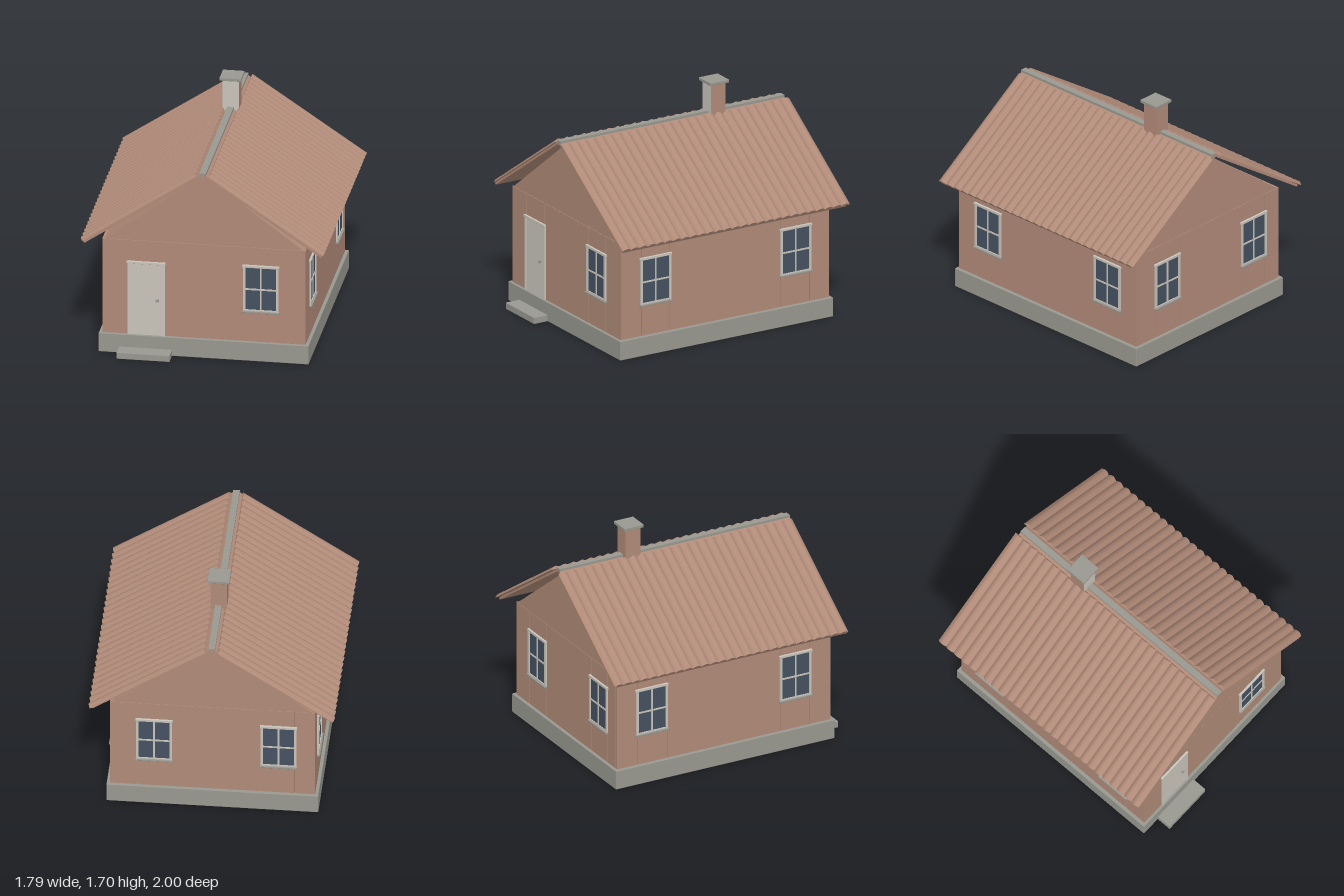
import * as THREE from 'three';
import { toCreasedNormals } from 'three/addons/utils/BufferGeometryUtils.js';
import { RoundedBoxGeometry } from 'three/addons/geometries/RoundedBoxGeometry.js';

const material = (name, color) => {
  const m = new THREE.MeshStandardMaterial({ color });
  m.name = name;
  return m;
};

export function createModel() {
  const brick = material('brick brown', 0xb08a78);
  const light = material('pale trim', 0xc9c4bb);
  const grey = material('concrete grey', 0x989890);
  const glass = material('dark glass', 0x455161);

  const house = new THREE.Group();
  house.name = 'house';

  const add = (parent, name, geometry, mat) => {
    const mesh = new THREE.Mesh(geometry, mat);
    mesh.name = name;
    parent.add(mesh);
    return mesh;
  };
  // Box given by its minimum and maximum corners
  const box = (parent, name, mat, [x0, y0, z0], [x1, y1, z1], bevel = 0) => {
    const size = [x1 - x0, y1 - y0, z1 - z0];
    const geo = bevel ? new RoundedBoxGeometry(...size, 1, bevel) : new THREE.BoxGeometry(...size);
    const mesh = add(parent, name, geo, mat);
    mesh.position.set((x0 + x1) / 2, (y0 + y1) / 2, (z0 + z1) / 2);
    return mesh;
  };

  // Foundation and doorstep
  box(house, 'foundation', grey, [-0.77, 0, -0.928], [0.77, 0.148, 0.885], 0.006);
  box(house, 'doorstep', grey, [-0.62, 0, 0.87], [-0.23, 0.05, 1], 0.004);

  // Wall core with separate panels on each side, leaving narrow joints
  const FRONT = 0.866, BACK = -0.905, SIDE = 0.745, EAVE = 0.885;
  box(house, 'wallCore', brick, [-SIDE + 0.01, 0.14, BACK + 0.01], [SIDE - 0.01, EAVE, FRONT - 0.01]);
  const panels = (edges, place) => {
    for (let i = 0; i < edges.length - 1; i++) place(edges[i] + 0.004, edges[i + 1] - 0.004);
  };
  const base = 0.145, top = EAVE - 0.003;
  panels([-0.729, -0.55, -0.3, 0.3, 0.535, 0.729], (a, b) =>
    box(house, 'frontWallPanel', brick, [a, base, FRONT - 0.02], [b, top, FRONT]));
  panels([-0.729, -0.6, -0.36, 0.305, 0.545, 0.729], (a, b) =>
    box(house, 'backWallPanel', brick, [a, base, BACK], [b, top, BACK + 0.02]));
  for (const s of [-1, 1]) {
    const xs = [s * SIDE, s * (SIDE - 0.02)].sort((a, b) => a - b);
    panels([BACK + 0.016, -0.74, -0.49, 0.45, 0.69, FRONT - 0.016], (a, b) =>
      box(house, 'sideWallPanel', brick, [xs[0], base, a], [xs[1], top, b]));
    // Corner posts
    for (const z of [FRONT - 0.011, BACK + 0.011])
      box(house, 'cornerPost', brick, [s * 0.735 - 0.01, base, z - 0.01], [s * 0.735 + 0.01, top, z + 0.01]);
  }

  // Gables, built as one attic prism
  const extrude = (points, depth) =>
    new THREE.ExtrudeGeometry(new THREE.Shape(points.map(p => new THREE.Vector2(...p))),
      { depth, bevelEnabled: false });
  add(house, 'gables', extrude([[-0.725, EAVE], [0.725, EAVE], [0, 1.432]], FRONT - BACK), brick)
    .position.z = BACK;

  // Roof boards and corrugated tile sheets, one of each per slope
  const SLOPE = 0.67, angle = Math.atan(SLOPE);
  const sinA = Math.sin(angle), cosA = Math.cos(angle);
  const WAVES = 27, LENGTH = 1.936, pitch = LENGTH / WAVES, STEPS = 8;
  const tileProfile = [[LENGTH / 2, 0], [-LENGTH / 2, 0]];
  for (let i = 0; i < WAVES; i++) {
    for (let k = i ? 1 : 0; k <= STEPS; k++) {
      const t = k / STEPS;
      tileProfile.push([-LENGTH / 2 + (i + t) * pitch, 0.003 + 0.019 * (1 - (2 * t - 1) ** 2)]);
    }
  }
  const tileGeometry = toCreasedNormals(extrude(tileProfile, 1.008), 0.5);
  for (const s of [-1, 1]) {
    const under = x => 1.446 - SLOPE * x;
    const nx = 0.016 * sinA, ny = 0.016 * cosA;
    add(house, 'roofBoards', extrude([
      [0, under(0)], [s * 0.866, under(0.866)],
      [s * (0.866 + nx), under(0.866) + ny], [0, under(0) + 0.016 / cosA],
    ], 1.907), brick).position.z = -0.975;

    const tiles = add(house, 'roofTiles', tileGeometry, brick);
    const basis = new THREE.Matrix4().makeBasis(
      new THREE.Vector3(0, 0, -s),
      new THREE.Vector3(s * sinA, cosA, 0),
      new THREE.Vector3(s * cosA, -sinA, 0));
    tiles.quaternion.setFromRotationMatrix(basis);
    tiles.position.set(s * 0.045, 1.442, -0.032);
  }
  box(house, 'ridge', grey, [-0.024, 1.435, -0.975], [0.024, 1.468, 0.932]);

  // Chimney with a pale front face and a flat cap
  box(house, 'chimney', [brick, brick, brick, brick, light, brick], [-0.06, 1.38, -0.452], [0.06, 1.68, -0.327]);
  box(house, 'chimneyCap', grey, [-0.08, 1.674, -0.47], [0.08, 1.697, -0.31], 0.003);

  // Window facing +z, centred on its own x, resting against z = 0
  const addWindow = (x, z, turn) => {
    const w = new THREE.Group();
    w.name = 'window';
    box(w, 'glass', glass, [-0.118, 0.39, -0.004], [0.118, 0.735, 0.004]);
    for (const s of [-1, 1])
      box(w, 'sideCasing', light, [s * 0.121 - 0.009, 0.385, -0.004], [s * 0.121 + 0.009, 0.735, 0.012]);
    box(w, 'topCasing', light, [-0.136, 0.728, -0.004], [0.136, 0.748, 0.015], 0.003);
    box(w, 'bottomCasing', light, [-0.118, 0.388, -0.004], [0.118, 0.4, 0.01]);
    box(w, 'sill', grey, [-0.137, 0.376, -0.004], [0.137, 0.39, 0.022], 0.003);
    box(w, 'verticalBar', light, [-0.006, 0.39, 0], [0.006, 0.735, 0.009]);
    box(w, 'crossBar', light, [-0.118, 0.553, 0], [0.118, 0.565, 0.009]);
    w.position.set(x, 0, z);
    w.rotation.y = turn;
    house.add(w);
  };
  addWindow(0.418, FRONT, 0);
  addWindow(0.425, BACK, Math.PI);
  addWindow(-0.48, BACK, Math.PI);
  for (const s of [-1, 1])
    for (const z of [0.572, -0.62]) addWindow(s * SIDE, z, s * Math.PI / 2);

  // Door with its frame and handle
  const door = new THREE.Group();
  door.name = 'door';
  box(door, 'doorLeaf', light, [-0.54, 0.148, FRONT - 0.01], [-0.3, 0.705, FRONT + 0.006]);
  for (const x of [-0.55, -0.293])
    box(door, 'doorJamb', light, [x - 0.009, 0.148, FRONT - 0.01], [x + 0.009, 0.705, FRONT + 0.012]);
  box(door, 'doorHead', light, [-0.566, 0.703, FRONT - 0.01], [-0.28, 0.722, FRONT + 0.015], 0.003);
  box(door, 'doorHandle', grey, [-0.35, 0.415, FRONT], [-0.33, 0.432, FRONT + 0.02]);
  house.add(door);

  return house;
}
